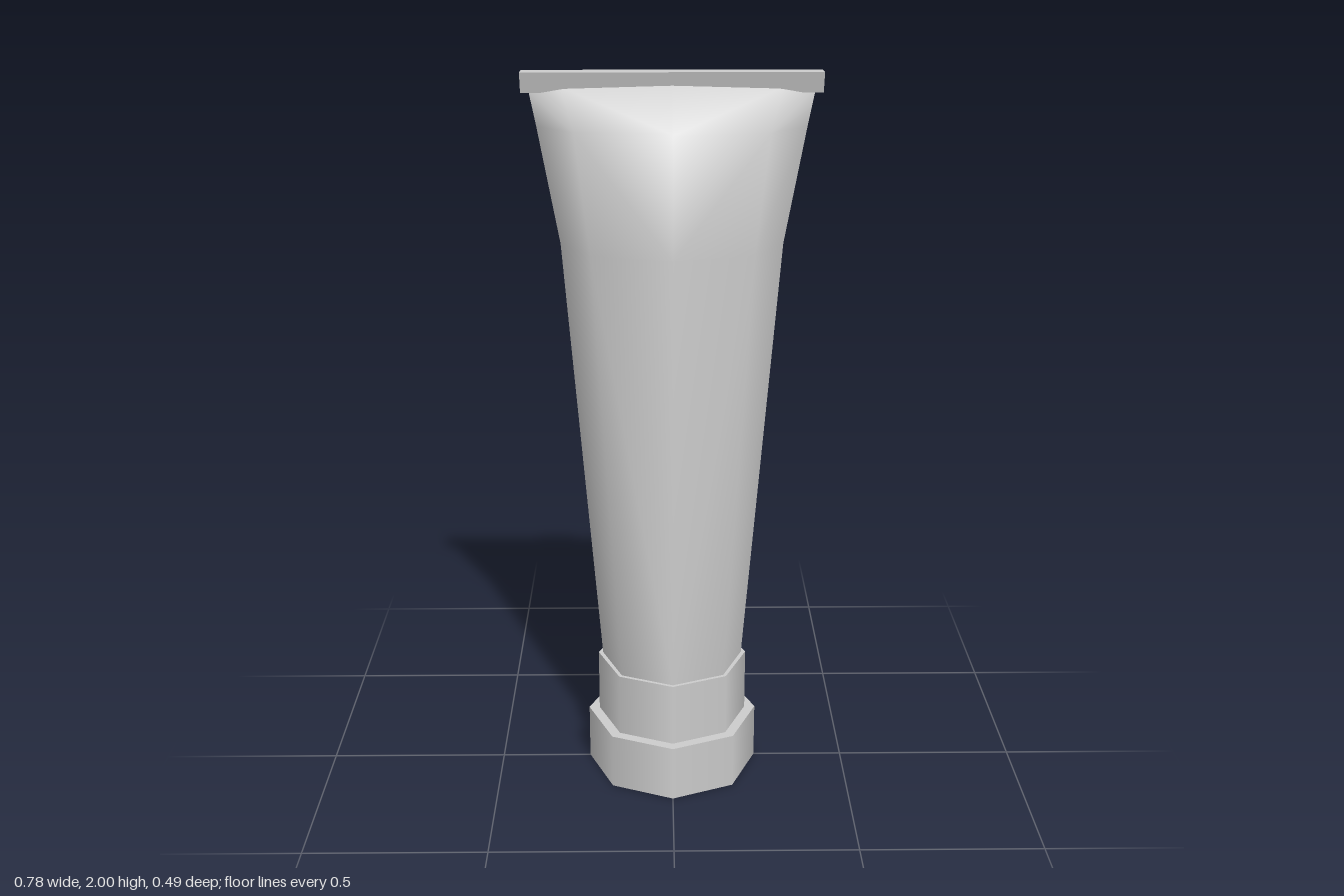
import * as THREE from 'three';

const grey = new THREE.MeshStandardMaterial({ color: 0xcccccc });
grey.name = 'grey';

// Half of the squeezed tube: rings run from the +x seam over the front to the -x seam.
function tubeHalf() {
  // side [x, y], diagonal [x, y, z], middle [y, z]
  const rings = [
    { side: [0.2, 0.335], diag: [0.143, 0.335, 0.143], mid: [0.335, 0.203] },
    { side: [0.296, 1.55], diag: [0.212, 1.55, 0.145], mid: [1.55, 0.204] },
    { side: [0.352, 1.86], diag: [0.25, 1.86, 0.114], mid: [1.86, 0.161] },
    { side: [0.37, 1.952], diag: [0.29, 1.962, 0.008], mid: [1.972, 0.008] },
  ];
  const positions = [];
  const index = [];
  for (const { side: s, diag: d, mid: m } of rings) {
    positions.push(s[0], s[1], 0, d[0], d[1], d[2], 0, m[0], m[1], -d[0], d[1], d[2], -s[0], s[1], 0);
  }
  for (let r = 0; r < rings.length - 1; r++) {
    for (let i = 0; i < 4; i++) {
      const a = r * 5 + i, b = a + 1, c = a + 5, e = a + 6;
      // mirrored diagonals keep the left and right sides alike
      if (i < 2) index.push(a, c, b, b, c, e);
      else index.push(a, e, b, a, c, e);
    }
  }
  const geo = new THREE.BufferGeometry();
  geo.setAttribute('position', new THREE.Float32BufferAttribute(positions, 3));
  geo.setIndex(index);
  geo.computeVertexNormals();
  return geo;
}

// Flat sealed strip with a wedge-shaped section
function crimpGeometry() {
  const section = new THREE.Shape([
    new THREE.Vector2(-0.012, 1.946),
    new THREE.Vector2(0.012, 1.946),
    new THREE.Vector2(0.028, 2.0),
    new THREE.Vector2(-0.028, 2.0),
  ]);
  const geo = new THREE.ExtrudeGeometry(section, { depth: 0.78, bevelEnabled: false });
  geo.translate(0, 0, -0.39);
  geo.rotateY(Math.PI / 2);
  return geo;
}

export function createModel() {
  const model = new THREE.Group();
  model.name = 'squeezeTube';

  const add = (name, geometry, y = 0) => {
    const mesh = new THREE.Mesh(geometry, grey);
    mesh.name = name;
    mesh.position.y = y;
    model.add(mesh);
    return mesh;
  };

  // Eight-sided cap and collar
  add('cap', new THREE.CylinderGeometry(0.243, 0.243, 0.16, 8), 0.08);
  add('collar', new THREE.CylinderGeometry(0.213, 0.213, 0.18, 8), 0.25);

  // Tube body, split along its side seams
  add('tubeFront', tubeHalf());
  add('tubeBack', tubeHalf()).rotation.y = Math.PI;

  // Crimped end
  add('crimp', crimpGeometry());

  return model;
}
